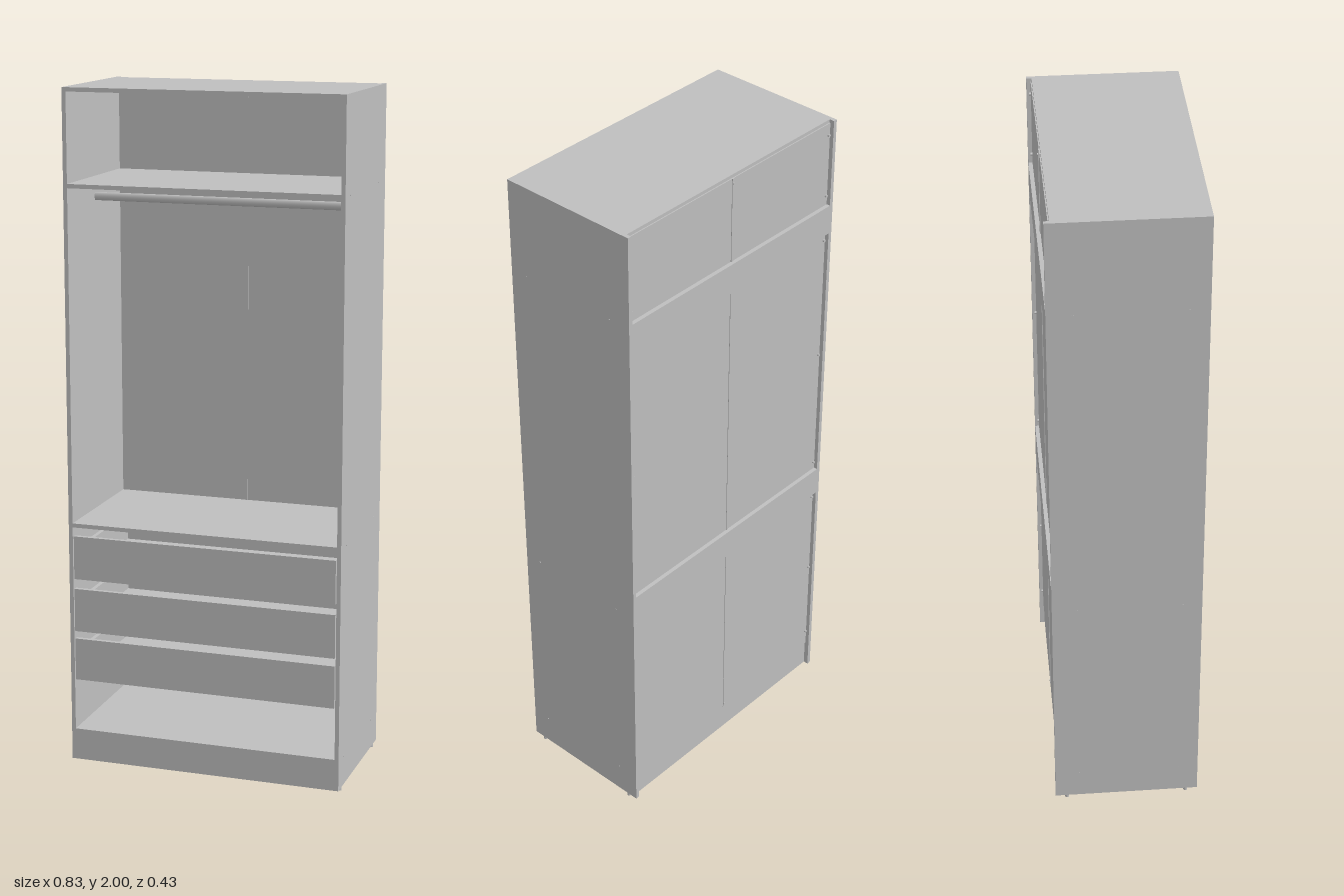
import * as THREE from 'three';

export function createModel() {
  const model = new THREE.Group();
  model.name = 'wardrobe';
  const grey = new THREE.MeshStandardMaterial({ name: 'light grey', color: 0xbfbfbf });

  // box given by its min and max on each axis
  function panel(name, x0, x1, y0, y1, z0, z1, parent = model) {
    const mesh = new THREE.Mesh(new THREE.BoxGeometry(x1 - x0, y1 - y0, z1 - z0), grey);
    mesh.position.set((x0 + x1) / 2, (y0 + y1) / 2, (z0 + z1) / 2);
    mesh.name = name;
    parent.add(mesh);
    return mesh;
  }
  function peg(name, radius, length, axis, x, y, z) {
    const mesh = new THREE.Mesh(new THREE.CylinderGeometry(radius, radius, length, 16), grey);
    if (axis === 'x') mesh.rotation.z = Math.PI / 2;
    if (axis === 'z') mesh.rotation.x = Math.PI / 2;
    mesh.position.set(x, y, z);
    mesh.name = name;
    model.add(mesh);
    return mesh;
  }

  const W = 0.412, IN = 0.4, F = 0.215, B = -0.2;

  // carcass: sides, top, shelves, plinth
  for (const s of [-1, 1]) {
    const x0 = s < 0 ? -W : IN;
    panel(s < 0 ? 'rightSide' : 'leftSide', x0, x0 + W - IN, 0.01, 2, -0.215, F);
  }
  panel('top', -IN, IN, 1.988, 2, B, F);
  panel('upperShelf', -IN, IN, 1.718, 1.73, B, F);
  panel('middleShelf', -IN, IN, 0.727, 0.739, B, F);
  panel('bottomShelf', -IN, IN, 0.093, 0.105, B, F);
  panel('frontPlinth', -IN, IN, 0.01, 0.093, F - 0.013, F);
  panel('backPlinth', -IN, IN, 0.01, 0.093, B, B + 0.012);

  // back: two thin boards, joining strip and two rails behind them
  for (const s of [-1, 1]) {
    panel('backBoard', s < 0 ? -IN : 0.001, s < 0 ? -0.001 : IN, 0.095, 1.99, -0.203, -0.199);
  }
  panel('backJoiningStrip', -0.004, 0.004, 0.095, 1.99, -0.205, -0.198);
  panel('upperBackRail', -IN, IN, 1.645, 1.735, -0.215, -0.203);
  panel('middleBackRail', -IN, IN, 0.72, 0.81, -0.215, -0.203);

  // hanging rod, oval in section
  const rod = peg('hangingRod', 0.012, IN * 2, 'x', 0, 1.671, 0);
  rod.scale.z = 0.55;

  // drawers: front, box and runners
  for (const [y0, y1] of [[0.57, 0.7], [0.41, 0.54], [0.26, 0.387]]) {
    const drawer = new THREE.Group();
    drawer.name = 'drawer';
    model.add(drawer);
    panel('drawerFront', -0.397, 0.397, y0, y1, F - 0.013, F, drawer);
    panel('drawerBottom', -0.375, 0.375, y0 + 0.015, y0 + 0.021, -0.18, F - 0.013, drawer);
    panel('drawerBack', -0.375, 0.375, y0 + 0.021, y1 - 0.03, -0.18, -0.168, drawer);
    for (const s of [-1, 1]) {
      const side = panel('drawerSide', -0.006, 0.006, y0 + 0.01, y1 - 0.03, -0.18, F - 0.013, drawer);
      side.position.x = s * 0.381;
      const runner = panel('drawerRunner', -0.006, 0.006, y0 + 0.035, y0 + 0.058, -0.18, F - 0.015, drawer);
      runner.position.x = s * 0.393;
    }
  }

  // feet, side screws and back fixings
  for (const s of [-1, 1]) {
    for (const z of [-0.18, 0.18]) peg('foot', 0.006, 0.01, 'y', s * 0.406, 0.005, z);
    for (const y of [0.1, 0.733, 1.724]) {
      for (const z of [-0.145, 0.16]) peg('sideScrew', 0.003, 0.002, 'x', s * W, y, z);
    }
    for (const y of [1.955, 1.765, 1.62, 1.23, 0.835, 0.7, 0.42, 0.15]) {
      peg('backFixing', 0.004, 0.005, 'z', s * 0.394, y, -0.2055);
    }
  }
  for (const y of [1.975, 0.11]) peg('stripScrew', 0.003, 0.003, 'z', 0, y, -0.206);

  return model;
}
